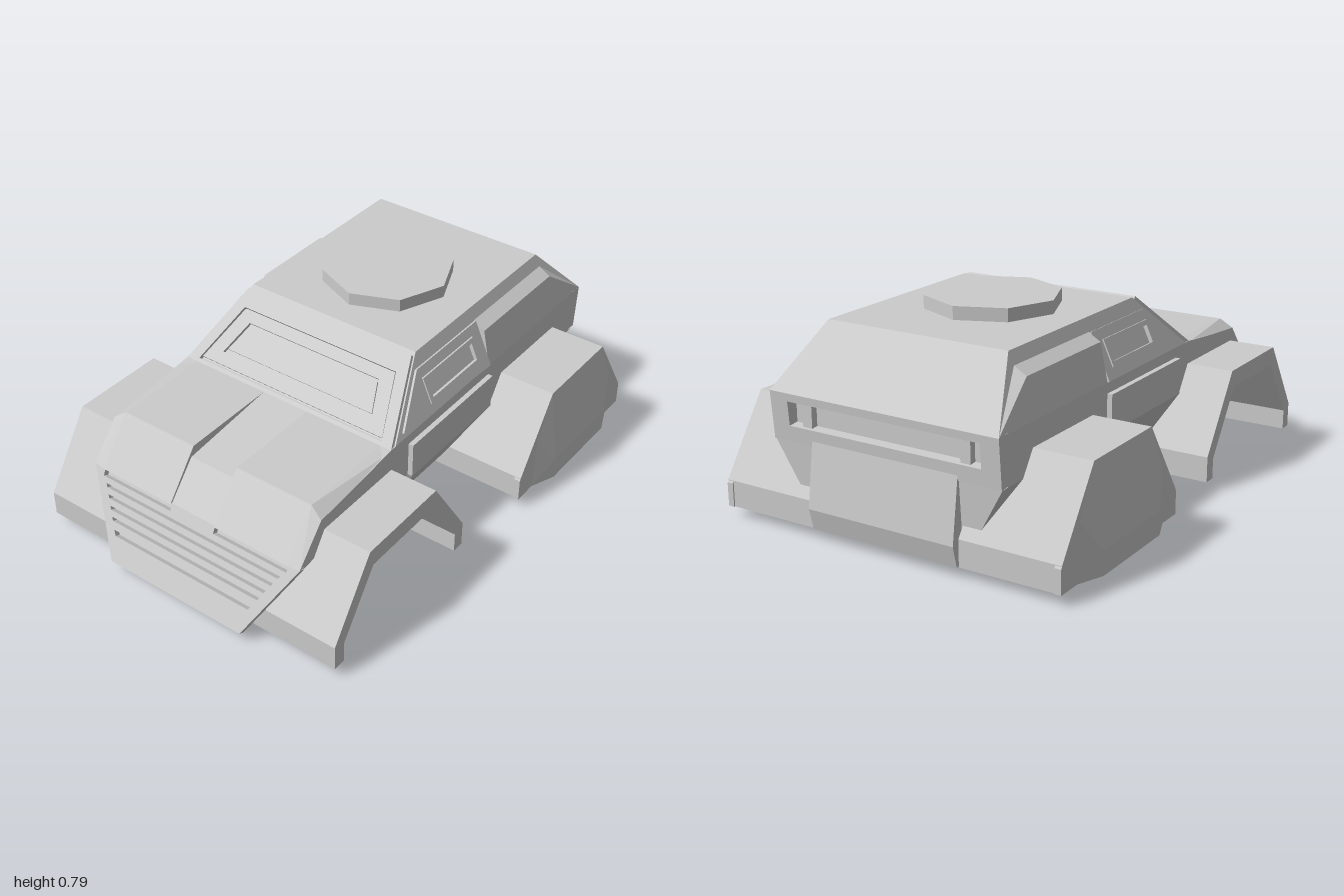
import * as THREE from 'three';
import { ConvexGeometry } from 'three/addons/geometries/ConvexGeometry.js';

const material = new THREE.MeshStandardMaterial({ color: 0xcccccc, flatShading: true });
const openMaterial = new THREE.MeshStandardMaterial({ color: 0xcccccc, side: THREE.DoubleSide });

export function createModel() {
  const model = new THREE.Group();
  model.name = 'armouredCar';

  const add = (name, geometry, mat = material) => {
    const mesh = new THREE.Mesh(geometry, mat);
    mesh.name = name;
    model.add(mesh);
    return mesh;
  };

  // Adds a part on the left and its mirror image on the right
  const addPair = (name, geometry) => {
    const left = geometry.index ? geometry.toNonIndexed() : geometry;
    const right = left.clone().scale(-1, 1, 1);
    const p = right.attributes.position;
    const a = new THREE.Vector3(), b = new THREE.Vector3();
    for (let i = 0; i < p.count; i += 3) {
      a.fromBufferAttribute(p, i + 1);
      b.fromBufferAttribute(p, i + 2);
      p.setXYZ(i + 1, b.x, b.y, b.z);
      p.setXYZ(i + 2, a.x, a.y, a.z);
    }
    right.computeVertexNormals();
    add(name + 'Left', left);
    add(name + 'Right', right);
  };

  const hull = (points) => new ConvexGeometry(points.map((p) => new THREE.Vector3(...p)));
  // Symmetric block from [halfWidth, y, z] corners
  const block = (corners) => hull(corners.flatMap(([x, y, z]) => [[x, y, z], [-x, y, z]]));

  const path = (Type, pts) => new Type(pts.map((p) => new THREE.Vector2(...p)));
  // Plate with holes; its outer face lies on the plane through origin spanned by right and up
  const plate = (pts, holes, depth, origin, right, up) => {
    const u = new THREE.Vector3(...up);
    const k = u.length() / u.y; // outline heights are world heights
    u.normalize();
    const r = new THREE.Vector3(...right);
    const flat = (list) => list.map(([x, y]) => [x, (y - origin[1]) * k]);
    const shape = path(THREE.Shape, flat(pts));
    shape.holes = holes.map((h) => path(THREE.Path, flat(h)));
    const g = new THREE.ExtrudeGeometry(shape, { depth, bevelEnabled: false });
    g.translate(0, 0, -depth);
    const m = new THREE.Matrix4().makeBasis(r, u, r.clone().cross(u)).setPosition(...origin);
    return g.applyMatrix4(m);
  };
  const trapezoid = (w0, y0, w1, y1) => [[-w0, y0], [w0, y0], [w1, y1], [-w1, y1]];
  const rect = (x0, x1, y0, y1) => [[x0, y0], [x1, y0], [x1, y1], [x0, y1]];

  // Hull
  add('lowerHull', block([
    [0.31, 0.05, 0.975], [0.475, 0.34, 0.845], [0.31, 0.05, -0.94], [0.475, 0.34, -0.96],
  ]));
  add('upperHull', block([
    [0.475, 0.34, 0.87], [0.475, 0.475, 0.755], [0.475, 0.52, 0.35],
    [0.475, 0.34, -0.93], [0.475, 0.52, -0.93],
  ]));
  add('cabin', block([
    [0.475, 0.52, 0.322], [0.375, 0.74, 0.065], [0.475, 0.52, -0.98], [0.375, 0.74, -0.77],
  ]));

  // Bonnet halves with a sunken channel between them
  addPair('bonnetPanel', hull([
    [0.1, 0.52, 0.35], [0.425, 0.52, 0.35], [0.475, 0.515, 0.35],
    [0.1, 0.515, 0.74], [0.425, 0.515, 0.74], [0.475, 0.48, 0.752],
    [0.1, 0.34, 0.878], [0.425, 0.34, 0.878], [0.475, 0.34, 0.872], [0.1, 0.4, 0.35], [0.475, 0.4, 0.35],
  ]));

  // Slotted nose grille
  const slots = [0.28, 0.247, 0.213, 0.18, 0.135].map((y) => {
    const w = 0.31 + (y - 0.13) * 0.59;
    const h = y < 0.15 ? 0.018 : 0.012;
    return trapezoid(w, y, w + h * 0.6, y + h);
  });
  slots.push(rect(0.1, 0.425, 0.312, 0.334), rect(-0.425, -0.1, 0.312, 0.334));
  add('grille', plate(trapezoid(0.305, 0.045, 0.475, 0.34), slots, 0.024,
    [0, 0.05, 1], [1, 0, 0], [0, 0.29, -0.13]));

  // Windscreen surround and vision slot
  const slope = [0, 0.22, -0.26];
  const opening = trapezoid(0.425, 0.53, 0.35, 0.69);
  add('windscreenFrame', plate(trapezoid(0.475, 0.52, 0.375, 0.74), [opening], 0.03,
    [0, 0.52, 0.35], [1, 0, 0], slope));
  add('windscreenPanel', plate(trapezoid(0.418, 0.534, 0.346, 0.684),
    [trapezoid(0.345, 0.565, 0.3, 0.655)], 0.02, [0, 0.52, 0.342], [1, 0, 0], slope));
  add('visionSlot', plate(trapezoid(0.335, 0.572, 0.297, 0.645), [], 0.012,
    [0, 0.52, 0.335], [1, 0, 0], slope));

  // Cabin side windows
  const back = [0, 0, -1], lean = [-0.1, 0.22, 0];
  addPair('sideWindowPanel', plate([[-0.27, 0.545], [0.29, 0.525], [0.29, 0.695], [-0.1, 0.695]],
    [rect(-0.09, 0.24, 0.565, 0.66)], 0.02, [0.486, 0.52, 0], back, lean));
  addPair('sideWindowFrame', plate(rect(-0.09, 0.24, 0.565, 0.66),
    [rect(-0.07, 0.22, 0.582, 0.643)], 0.025, [0.492, 0.52, 0], back, lean));

  // Rear cabin shoulders
  addPair('rearShoulder', hull([
    [0.385, 0.7, -0.29], [0.385, 0.7, -0.77], [0.445, 0.665, -0.29], [0.445, 0.665, -0.77],
    [0.475, 0.52, -0.29], [0.475, 0.52, -0.98], [0.38, 0.52, -0.29], [0.38, 0.52, -0.95],
  ]));

  // Side doors, bent to follow the hull
  addPair('door', hull([
    [0.495, 0.48, 0.24], [0.495, 0.48, -0.29], [0.495, 0.34, 0.24], [0.495, 0.34, -0.29],
    [0.375, 0.13, 0.13], [0.375, 0.13, -0.15], [0.44, 0.48, 0.24], [0.44, 0.48, -0.29],
    [0.44, 0.34, 0.24], [0.44, 0.34, -0.29], [0.33, 0.13, 0.13], [0.33, 0.13, -0.15],
  ]));

  // Rear window surround, window dividers and hatch
  add('rearFrame', plate(trapezoid(0.475, 0.34, 0.475, 0.52), [rect(-0.4, 0.4, 0.4, 0.49)], 0.05,
    [0, 0.34, -0.965], [-1, 0, 0], [0, 0.18, -0.015]));
  for (const x of [-0.33, 0.33]) {
    add('rearWindowDivider', new THREE.BoxGeometry(0.04, 0.1, 0.03)).position.set(x, 0.445, -0.942);
  }
  add('rearHatch', block([
    [0.305, 0.37, -0.965], [0.305, 0.12, -1], [0.305, 0.04, -0.98],
    [0.305, 0.37, -0.92], [0.305, 0.04, -0.92],
  ]));

  // Wheel arches: the rear pair is closed by bulging skirts
  const arch = (z, x) => plate([
    [-0.39, 0.04], [-0.34, 0.04], [-0.34, 0.12], [-0.175, 0.36], [0.175, 0.36], [0.34, 0.12],
    [0.34, 0.04], [0.39, 0.04], [0.39, 0.14], [0.195, 0.43], [-0.195, 0.43], [-0.39, 0.14],
  ], [], x - 0.31, [x, 0, z], back, [0, 1, 0]);
  addPair('frontFender', arch(0.54, 0.665));
  addPair('rearFender', arch(-0.585, 0.705));
  const outline = [[-0.19, 0.04], [-0.19, 0.13], [-0.39, 0.43], [-0.78, 0.43], [-0.98, 0.13], [-0.98, 0.04]];
  addPair('rearSkirt', hull([0.68, 0.705].flatMap((x) => outline.map(([z, y]) => [x, y, z]))));
  addPair('rearSkirtBulge', hull([
    [0.705, 0.43, -0.39], [0.705, 0.43, -0.78], [0.705, 0.04, -0.29], [0.705, 0.04, -0.88],
    [0.705, 0.25, -0.3], [0.705, 0.25, -0.87], [0.745, 0.13, -0.39], [0.745, 0.13, -0.78],
    [0.745, 0.04, -0.39], [0.745, 0.04, -0.78],
  ]));

  // Hollow axles
  for (const z of [0.54, -0.585]) {
    const axle = add('axle', new THREE.CylinderGeometry(0.035, 0.035, 0.8, 12, 1, true).rotateZ(Math.PI / 2), openMaterial);
    axle.position.set(0, 0.035, z);
  }

  // Octagonal roof hatch
  add('roofHatch', new THREE.CylinderGeometry(0.255, 0.255, 0.06, 8)).position.set(0, 0.76, -0.295);

  return model;
}
